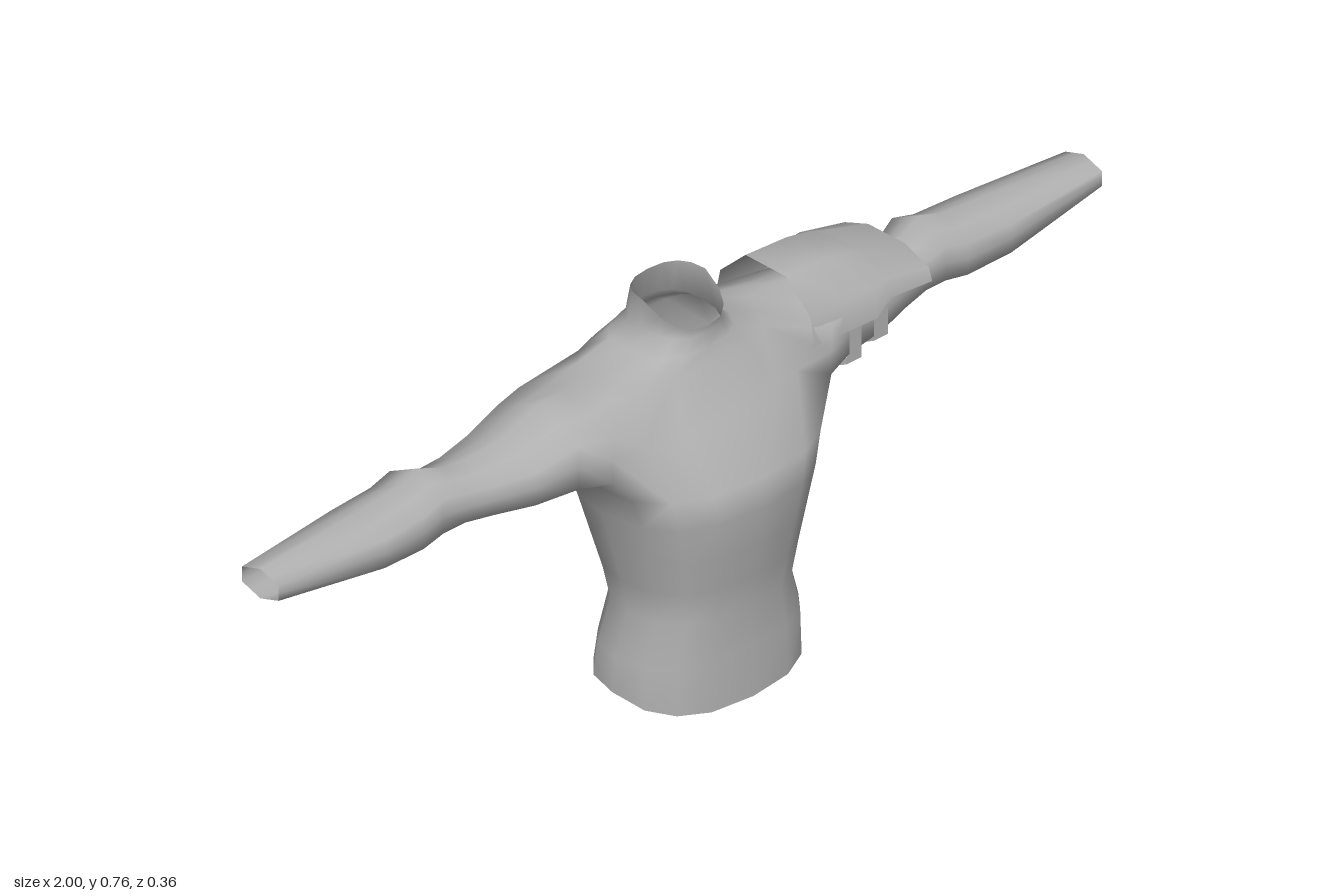
import * as THREE from 'three';

const N = 16; // points around the torso

// Torso rings: [y, half width, front z, back z, front rise, back rise]
const TORSO = [
  [0.03, 0.2, 0.15, -0.125, -0.028, 0.01],
  [0.1, 0.197, 0.147, -0.115, 0, 0],
  [0.185, 0.17, 0.146, -0.106, 0, 0],
  [0.25, 0.182, 0.156, -0.12, 0, 0],
  [0.32, 0.198, 0.168, -0.144, 0, 0],
  [0.4, 0.218, 0.18, -0.167, 0, 0],
  [0.46, 0.238, 0.178, -0.181, 0, 0],
  [0.55, 0.245, 0.105, -0.183, 0, 0],
  [0.64, 0.19, 0.052, -0.165, 0, 0],
  [0.666, 0.11, 0.04, -0.15, 0, 0],
  [0.692, 0.073, 0.034, -0.133, 0, 0],
  [0.755, 0.076, 0.037, -0.115, -0.047, 0.003],
];
const HOLE = 6; // first of the three rings that border the armholes

// Arm rings: [x, top y, bottom y, front z, back z]
const ARM = [
  [0.265, 0.652, 0.466, 0.072, -0.165],
  [0.33, 0.65, 0.476, 0.052, -0.148],
  [0.42, 0.617, 0.487, 0.038, -0.136],
  [0.5, 0.611, 0.495, 0.016, -0.12],
  [0.56, 0.616, 0.5, 0.005, -0.112],
  [0.61, 0.63, 0.492, 0.002, -0.132],
  [0.66, 0.615, 0.487, 0.006, -0.13],
  [0.76, 0.61, 0.496, 0.012, -0.125],
  [1, 0.595, 0.535, -0.008, -0.1],
];
const HEX = [[0, 1], [1, 0.5], [1, -0.5], [0, -1], [-1, -0.5], [-1, 0.5]];

function makeGeometry(positions, index) {
  const g = new THREE.BufferGeometry();
  g.setAttribute('position', new THREE.Float32BufferAttribute(positions, 3));
  g.setIndex(index);
  g.computeVertexNormals();
  return g;
}

// Torso and both arms as one continuous skin, open at hem, neck and wrists
function bodyGeometry() {
  const pos = [], index = [];
  const quad = (a, b, c, d) => index.push(a, b, c, a, c, d);
  const id = (row, j) => row * N + ((j + N) % N);
  const soft = (v) => Math.sign(v) * Math.pow(Math.abs(v), 0.8);

  for (const [y, w, front, back, riseF, riseB] of TORSO) {
    const mid = (front + back) / 2 - 0.01;
    for (let j = 0; j < N; j++) {
      const a = (j / N) * Math.PI * 2;
      const c = soft(Math.cos(a));
      const z = mid + (c > 0 ? (front - mid) * c : (mid - back) * c);
      pos.push(w * soft(Math.sin(a)), y + (c > 0 ? riseF * c : -riseB * c), z);
    }
  }
  const inHole = (i, j) => i >= HOLE && i < HOLE + 2 && (j % 8) >= 2 && (j % 8) < 6;
  for (let i = 0; i < TORSO.length - 1; i++)
    for (let j = 0; j < N; j++)
      if (!inHole(i, j)) quad(id(i, j), id(i, j + 1), id(i + 1, j + 1), id(i + 1, j));

  // Arms grow from the twelve points around each armhole
  const rim = [[2, 0], [2, 1], [2, 2], [1, 2], [0, 2], [0, 1], [0, 0], [0, -1], [0, -2], [1, -2], [2, -2], [2, -1]];
  for (const s of [1, -1]) {
    let prev = rim.map(([r, k]) => id(HOLE + r, (s > 0 ? 4 : 12) - s * k));
    for (const [x, top, bottom, front, back] of ARM) {
      const ring = [];
      for (let k = 0; k < 12; k++) {
        const p = HEX[k >> 1], q = HEX[((k + 1) >> 1) % 6];
        const u = (p[0] + q[0]) / 2, v = (p[1] + q[1]) / 2;
        ring.push(pos.length / 3);
        pos.push(s * x, (top + bottom) / 2 + v * (top - bottom) / 2, (front + back) / 2 + u * (front - back) / 2);
      }
      for (let k = 0; k < 12; k++) {
        const n = (k + 1) % 12;
        if (s > 0) quad(prev[k], prev[n], ring[n], ring[k]);
        else quad(prev[n], prev[k], ring[k], ring[n]);
      }
      prev = ring;
    }
  }
  return makeGeometry(pos, index);
}

// Open sheet through a list of equally long point rows
function sheet(rows) {
  const n = rows[0].length, index = [];
  for (let i = 0; i < rows.length - 1; i++)
    for (let j = 0; j < n - 1; j++) {
      const a = i * n + j, b = a + n;
      index.push(a, b, b + 1, a, b + 1, a + 1);
    }
  return makeGeometry(rows.flat(2), index);
}

// Arched shoulder plate, section running from back to front
function shoulderPlateGeometry() {
  const stations = [ // x, top, shoulder, lower edge, depth factor
    [0.23, 0.692, 0.634, 0.58, 1],
    [0.33, 0.686, 0.632, 0.575, 1],
    [0.385, 0.675, 0.628, 0.572, 0.99],
    [0.42, 0.664, 0.632, 0.598, 0.97],
    [0.525, 0.632, 0.61, 0.585, 0.93],
  ];
  return sheet(stations.map(([x, top, mid, low, f]) =>
    [[-0.125, low], [-0.113, mid], [-0.05, top], [0.05, top], [0.113, mid], [0.122, low]]
      .map(([z, y]) => [x, y, -0.057 + z * f])));
}

// Angular band passing below the upper arm
function strapGeometry(x, width, bottom, half) {
  const profile = [[half, 0.6], [half, bottom + 0.052], [0, bottom], [-half, bottom + 0.052], [-half, 0.6]];
  const g = sheet([x, x + width].map((px) => profile.map(([z, y]) => [px, y, -0.053 + z])));
  const flat = g.toNonIndexed();
  flat.computeVertexNormals();
  return flat;
}

export function createModel() {
  const group = new THREE.Group();
  const grey = new THREE.MeshStandardMaterial({ color: 0xb0b0b0, side: THREE.DoubleSide });
  grey.name = 'plain grey';
  const add = (name, geometry) => {
    const mesh = new THREE.Mesh(geometry, grey);
    mesh.name = name;
    group.add(mesh);
  };
  add('torsoAndArms', bodyGeometry());
  add('leftShoulderPlate', shoulderPlateGeometry());
  add('innerStrap', strapGeometry(0.32, 0.036, 0.448, 0.106));
  add('outerStrap', strapGeometry(0.396, 0.034, 0.46, 0.096));
  return group;
}
